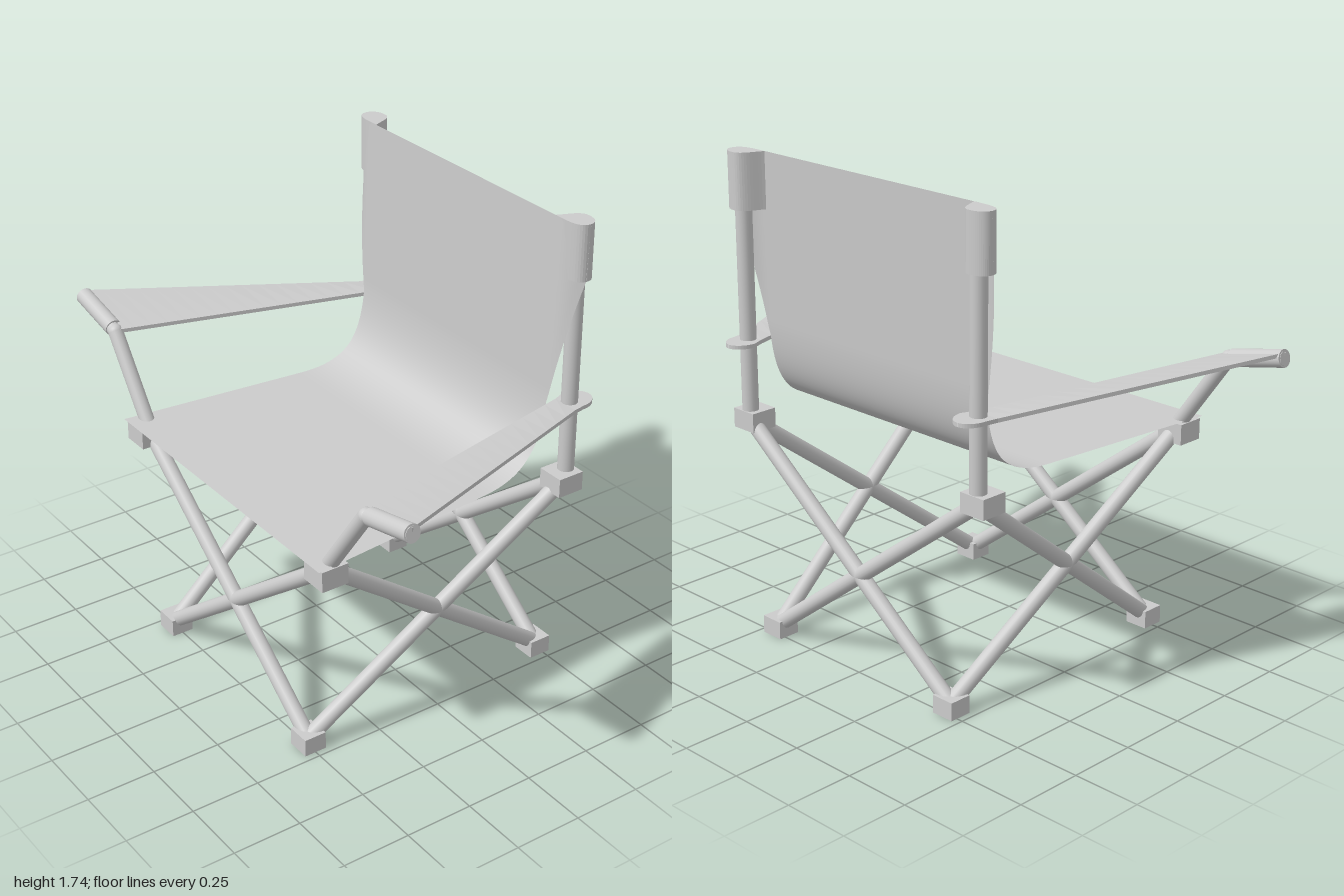
import * as THREE from 'three';

const grey = new THREE.MeshStandardMaterial({ color: 0xcccccc });
const cloth = new THREE.MeshStandardMaterial({ color: 0xcccccc, side: THREE.DoubleSide });
const v = (x, y, z) => new THREE.Vector3(x, y, z);

function add(parent, name, geometry, material = grey) {
  const mesh = new THREE.Mesh(geometry, material);
  mesh.name = name;
  parent.add(mesh);
  return mesh;
}

// Round rod between two points
function rod(parent, name, a, b, r = 0.028) {
  const mesh = add(parent, name, new THREE.CylinderGeometry(r, r, a.distanceTo(b), 20));
  mesh.position.copy(a).lerp(b, 0.5);
  mesh.quaternion.setFromUnitVectors(v(0, 1, 0), b.clone().sub(a).normalize());
  return mesh;
}

function block(parent, name, w, h, d, x, y, z) {
  add(parent, name, new THREE.BoxGeometry(w, h, d)).position.set(x, y, z);
}

// Surface skinned over rows of points that all have the same length
function skin(rows) {
  const n = rows[0].length, index = [];
  for (let i = 0; i < rows.length - 1; i++) {
    for (let j = 0; j < n - 1; j++) {
      const a = i * n + j, b = a + n;
      index.push(a, b, a + 1, b, b + 1, a + 1);
    }
  }
  const geometry = new THREE.BufferGeometry().setFromPoints(rows.flat());
  geometry.setIndex(index);
  geometry.computeVertexNormals();
  return geometry;
}

// Seat and backrest: one sheet following a side profile, its upper edges bent back to the poles
function sheetGeometry() {
  const path = new THREE.Path();
  path.moveTo(0.57, 0.82);
  path.lineTo(-0.14, 0.82);
  path.bezierCurveTo(-0.33, 0.82, -0.4, 0.9, -0.415, 1.12);
  path.lineTo(-0.44, 1.74);
  const columns = 60;
  const rows = path.getSpacedPoints(90).map(({ x: z, y }) => {
    const seatHalf = THREE.MathUtils.mapLinear(Math.max(z, -0.35), -0.35, 0.57, 0.522, 0.61);
    const half = y > 1.08 ? 0.522 + 0.09 * Math.min(1, (y - 1.08) / 0.46) : seatHalf;
    return Array.from({ length: columns + 1 }, (_, j) => {
      const x = half * (2 * j / columns - 1);
      const bend = y > 1.08 ? Math.max(0, (Math.abs(x) - 0.52) / 0.092) : 0;
      return v(x, y, z - 0.045 * bend * bend);
    });
  });
  return skin(rows);
}

// Pocket at the top of the back that slips over a pole
function pocketGeometry() {
  const shape = new THREE.Shape();
  shape.moveTo(0.49, 0.441);
  shape.bezierCurveTo(0.56, 0.438, 0.612, 0.44, 0.612, 0.483);
  shape.bezierCurveTo(0.612, 0.512, 0.585, 0.526, 0.555, 0.526);
  shape.bezierCurveTo(0.515, 0.526, 0.51, 0.48, 0.49, 0.441);
  const geometry = new THREE.ExtrudeGeometry(shape, { depth: 0.2, bevelEnabled: false, curveSegments: 12 });
  return geometry.rotateX(-Math.PI / 2).translate(0, 1.54, 0);
}

// Arm strap: flat band from the front handle to a rounded end around the pole
function armGeometry() {
  const rows = [];
  const section = (z, xi, xo, yi, yo) => {
    const t = 0.007;
    rows.push([v(xi, yi - t, z), v(xi, yi + t, z), v(xo, yo + t, z), v(xo, yo - t, z), v(xi, yi - t, z)]);
  };
  for (let i = 0; i <= 16; i++) {
    const k = i / 16, mix = (a, b) => a + (b - a) * k;
    section(mix(0.5, -0.46), mix(0.745, 0.515), mix(0.995, 0.615), mix(1.092, 1.07), mix(1.15, 1.07));
  }
  for (let i = 0; i <= 10; i++) {
    const a = i / 10 * Math.PI / 2, w = Math.max(0.001, 0.055 * Math.cos(a));
    section(-0.505 - 0.07 * Math.sin(a), 0.552 - w, 0.552 + w, 1.07, 1.07);
  }
  return skin(rows).toNonIndexed();
}

function armStrap() {
  const geometry = armGeometry();
  geometry.computeVertexNormals();
  return geometry;
}

export function createModel() {
  const model = new THREE.Group();
  model.name = 'foldingChair';
  add(model, 'seatAndBackFabric', sheetGeometry(), cloth);

  for (const s of [1, -1]) {
    const side = new THREE.Group();
    side.name = s > 0 ? 'leftSide' : 'rightSide';
    side.scale.x = s;
    model.add(side);

    // Feet and upper corner joints
    block(side, 'frontFoot', 0.088, 0.065, 0.083, 0.432, 0.0325, 0.5);
    block(side, 'backFoot', 0.088, 0.065, 0.083, 0.432, 0.0325, -0.483);
    block(side, 'frontJoint', 0.102, 0.075, 0.101, 0.558, 0.777, 0.507);
    block(side, 'backJoint', 0.102, 0.07, 0.101, 0.558, 0.784, -0.466);

    // Crossed legs: one of each front and back pair, both of the side pair
    for (const [name, z] of [['frontCrossLeg', 0.5], ['backCrossLeg', -0.485]]) {
      rod(side, name, v(-0.432, 0.035, z), v(0.555, 0.78, z));
    }
    rod(side, 'sideCrossLeg', v(0.432, 0.035, 0.5), v(0.555, 0.78, -0.485));
    rod(side, 'sideCrossLeg', v(0.432, 0.035, -0.485), v(0.555, 0.78, 0.5));

    // Back pole with its fabric pocket
    rod(side, 'backPole', v(0.556, 0.78, -0.485), v(0.556, 1.735, -0.485), 0.029);
    add(side, 'polePocket', pocketGeometry(), cloth);

    // Arm support, handle and strap
    const elbow = v(0.765, 1.085, 0.5);
    rod(side, 'armPost', v(0.555, 0.79, 0.5), elbow, 0.027);
    add(side, 'armElbow', new THREE.SphereGeometry(0.027, 20, 12)).position.copy(elbow);
    rod(side, 'armHandle', elbow, v(0.995, 1.136, 0.497), 0.025);
    rod(side, 'handleSleeve', v(0.785, 1.09, 0.497), v(0.993, 1.136, 0.497), 0.031);
    add(side, 'armStrap', armStrap(), cloth);
  }
  return model;
}
